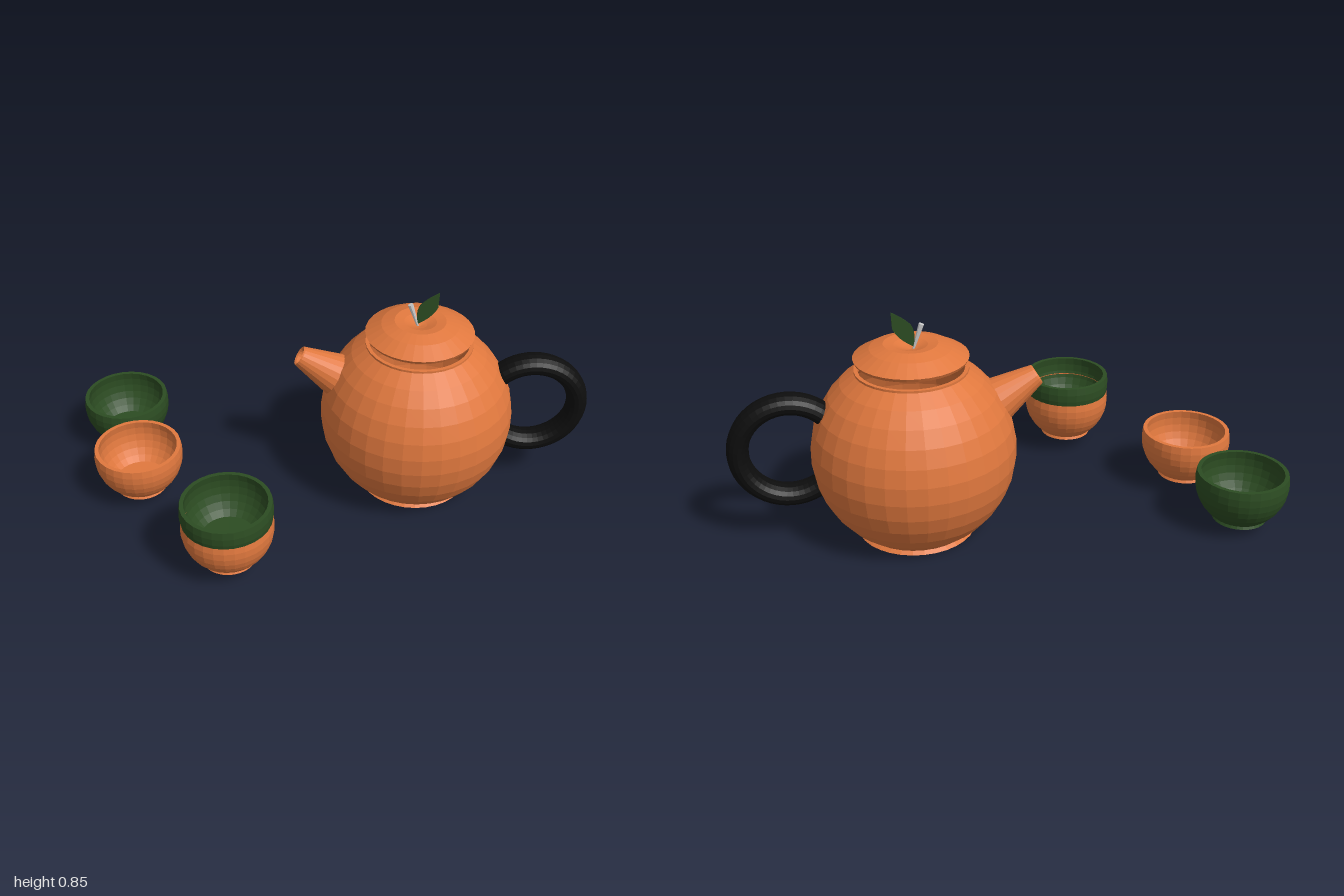
import * as THREE from 'three';

const material = (color) => new THREE.MeshStandardMaterial({ color, flatShading: true, side: THREE.DoubleSide });
const clay = material(0xe0783e);
const green = material(0x2c4c22);
const black = material(0x0d0d0d);
const grey = material(0xcccccc);

function mesh(name, geometry, mat, parent) {
  const m = new THREE.Mesh(geometry, mat);
  m.name = name;
  parent.add(m);
  return m;
}

const lathe = (points, segments) =>
  new THREE.LatheGeometry(points.map(([r, y]) => new THREE.Vector2(r, y)), segments);

// Profile points on a circle about the axis, from height y0 to y1
function arc(radius, centerY, y0, y1, steps) {
  const a0 = Math.asin((y0 - centerY) / radius);
  const a1 = Math.asin((y1 - centerY) / radius);
  return Array.from({ length: steps + 1 }, (_, i) => {
    const a = a0 + (a1 - a0) * i / steps;
    return [radius * Math.cos(a), centerY + radius * Math.sin(a)];
  });
}

// Round bowl on a small flared foot, origin under the foot
function cup(name, mat, x, y, z, parent) {
  const profile = [
    [0, 0.005], [0.085, 0.005], [0.1, 0], [0.094, 0.012],
    ...arc(0.17, 0.15, 0.014, 0.188, 7),
    ...arc(0.155, 0.15, 0.188, 0.03, 6),
    [0, 0.027],
  ];
  const c = mesh(name, lathe(profile, 28), mat, parent);
  c.position.set(x, y, z);
  return c;
}

function teapot() {
  const pot = new THREE.Group();
  pot.name = 'teapot';

  // Hollow spherical body with foot and open mouth
  mesh('body', lathe([
    [0, 0.004], [0.2, 0.004], [0.217, 0], [0.205, 0.012],
    ...arc(0.37, 0.32, 0.013, 0.63, 11),
    [0.202, 0.638], [0.188, 0.638],
    ...arc(0.35, 0.32, 0.615, 0.03, 11),
    [0, 0.03],
  ], 32), clay, pot);

  // Floating lid with a dimple in the middle
  mesh('lid', lathe([
    [0, 0.674], [0.19, 0.668], [0.198, 0.669], [0.204, 0.681], [0.145, 0.714],
    [0.096, 0.729], [0.06, 0.724], [0.025, 0.711], [0, 0.705],
  ], 32), clay, pot);

  // Hollow tapered spout, running up and outward
  const spout = mesh('spout', lathe([
    [0.085, 0], [0.04, 0.165], [0.037, 0.17], [0.03, 0.165], [0.065, 0.02],
  ], 20), clay, pot);
  spout.position.set(-0.305, 0.484, 0);
  spout.rotation.z = Math.atan2(0.85, 0.52);

  // Ring handle, deeper than it is thick, ending inside the body
  const handle = mesh('handle', new THREE.TorusGeometry(0.179, 0.039, 16, 40, Math.PI * 5 / 3), black, pot);
  handle.geometry.rotateZ(-Math.PI * 5 / 6);
  handle.scale.z = 1.35;
  handle.position.set(0.442, 0.358, 0);

  // Leaning stem, wider at its tip
  const stem = mesh('stem', new THREE.CylinderGeometry(0.01, 0.004, 0.1, 8), grey, pot);
  stem.position.set(-0.024, 0.749, 0);
  stem.rotation.z = 0.32;

  // Pointed leaf
  const shape = new THREE.Shape();
  shape.moveTo(-0.01, 0.715);
  shape.quadraticCurveTo(-0.022, 0.77, -0.002, 0.797);
  shape.quadraticCurveTo(0.025, 0.825, 0.065, 0.845);
  shape.lineTo(0.062, 0.785);
  shape.quadraticCurveTo(0.045, 0.745, -0.01, 0.715);
  const leaf = new THREE.ExtrudeGeometry(shape, { depth: 0.005, bevelEnabled: false, curveSegments: 5 });
  mesh('leaf', leaf, green, pot).position.z = -0.0025;

  pot.position.set(0.34, 0, -0.157);
  return pot;
}

export function createModel() {
  const model = new THREE.Group();
  model.name = 'teaSet';
  model.add(teapot());

  // Two single cups and a stacked pair
  cup('backCup', green, -0.832, 0.035, -0.39, model);
  cup('middleCup', clay, -0.737, 0.043, -0.041, model);
  cup('lowerStackedCup', clay, -0.362, 0.055, 0.385, model).rotation.x = -0.018;
  cup('upperStackedCup', green, -0.362, 0.127, 0.382, model);
  return model;
}
